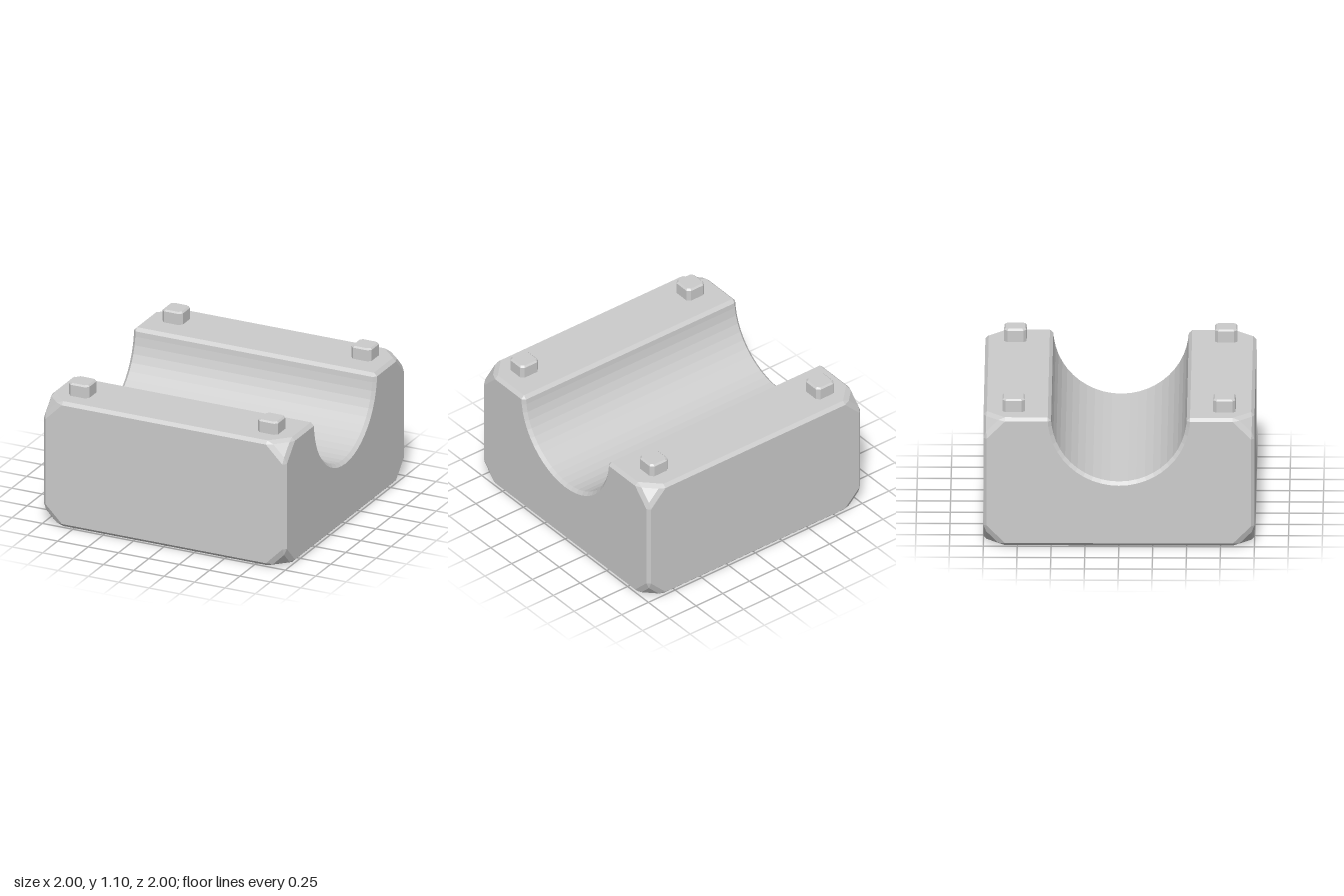
import * as THREE from 'three';

const A = 0.025;      // edge chamfer
const B = 0.16;       // corner cut
const H = 0.5;        // half height of the block
const PEG = 0.7775;   // peg and socket offset from the centre
const material = new THREE.MeshStandardMaterial({ color: 0xcccccc, flatShading: true });

// Collects flat polygons; each is wound so that it faces along "out".
class Faces {
  constructor() { this.data = []; }

  face(pts, out, holes = []) {
    const size = out.map(Math.abs);
    const drop = size.indexOf(Math.max(...size));
    const flat = (p) => new THREE.Vector2(...p.filter((_, i) => i !== drop));
    const all = [...pts, ...holes.flat()];
    const normal = new THREE.Vector3(...out);
    for (const t of THREE.ShapeUtils.triangulateShape(pts.map(flat), holes.map((h) => h.map(flat)))) {
      const [a, b, c] = t.map((i) => new THREE.Vector3(...all[i]));
      const n = b.clone().sub(a).cross(c.clone().sub(a));
      const order = n.dot(normal) > 0 ? [a, b, c] : [a, c, b];
      for (const v of order) this.data.push(v.x, v.y, v.z);
    }
  }

  // Adds a polygon and its mirror images across the named axes.
  mirrored(axes, pts, out) {
    const signs = ['x', 'y', 'z'].map((n) => (axes.includes(n) ? [1, -1] : [1]));
    for (const sx of signs[0]) for (const sy of signs[1]) for (const sz of signs[2]) {
      const flip = (p) => [p[0] * sx, p[1] * sy, p[2] * sz];
      this.face(pts.map(flip), flip(out));
    }
  }

  mesh(name) {
    const g = new THREE.BufferGeometry();
    g.setAttribute('position', new THREE.Float32BufferAttribute(this.data, 3));
    g.computeVertexNormals();
    const m = new THREE.Mesh(g, material);
    m.name = name;
    return m;
  }
}

// Octagon [u, v]: a rectangle with its corners cut
const octagon = (u, v, cu, cv = cu) => [
  [u, v - cv], [u - cu, v], [-u + cu, v], [-u, v - cv],
  [-u, -v + cv], [-u + cu, -v], [u - cu, -v], [u, -v + cv]];

const square = (r, y, cx = 0, cz = 0) =>
  [[1, 1], [-1, 1], [-1, -1], [1, -1]].map(([x, z]) => [cx + x * r, y, cz + z * r]);

// Channel cross-section [y, z] in 7.5 degree steps, from +z to -z
function channelProfile(r) {
  const pts = [[H - A, r]];
  for (let i = 1; i < 24; i++) {
    const t = (i / 24) * Math.PI;
    pts.push([H - r * Math.sin(t), r * Math.cos(t)]);
  }
  pts.push([H - A, -r]);
  return pts;
}

const R = 0.5;
const inner = channelProfile(R);
const outer = channelProfile(R + A);
const pegSpots = [[1, 1], [-1, 1], [-1, -1], [1, -1]].map(([x, z]) => [x * PEG, z * PEG]);

function makeBody() {
  const f = new Faces();
  const e = 1 - A, c = 1 - B, L = R + A;

  // Front and back
  f.mirrored('z', octagon(e, H - A, B - A).map(([x, y]) => [x, y, 1]), [0, 0, 1]);
  // Tops on both sides of the channel
  f.mirrored('z', [[e, H, L], [e, H, c], [c, H, e], [-c, H, e], [-e, H, c], [-e, H, L]], [0, 1, 0]);
  // Ends with the channel cut out
  const end = [[H - A, -c], [H - B, -e], [-H + B, -e], [-H + A, -c],
    [-H + A, c], [-H + B, e], [H - B, e], [H - A, c], ...outer];
  f.mirrored('x', end.map(([y, z]) => [1, y, z]), [1, 0, 0]);
  // Underside with openings
  const holes = [square(R + A, -H), ...pegSpots.map(([x, z]) => square(0.125, -H, x, z))];
  f.face(octagon(e, e, B - A).map(([x, z]) => [x, -H, z]), [0, -1, 0], holes);

  // Edge chamfers
  const hy = H - B;
  f.mirrored('xz', [[e, hy, 1], [1, hy, e], [1, -hy, e], [e, -hy, 1]], [1, 0, 1]);
  f.mirrored('yz', [[c, H - A, 1], [c, H, e], [-c, H, e], [-c, H - A, 1]], [0, 1, 1]);
  f.mirrored('xz', [[e, H, L], [1, H - A, L], [1, H - A, c], [e, H, c]], [1, 1, 0]);
  f.mirrored('x', [[e, -H, c], [1, -H + A, c], [1, -H + A, -c], [e, -H, -c]], [1, -1, 0]);

  // Cut corners with bevelled borders, given as insets from the three sides
  const at = (k, ik, i, ii, j, ij) => {
    const p = [1, H, 1];
    p[k] -= ik; p[i] -= ii; p[j] -= ij;
    return p;
  };
  const tip = (j) => at(j, 0.11, (j + 1) % 3, 0.02, (j + 2) % 3, 0.02);
  f.mirrored('xyz', [tip(0), tip(1), tip(2)], [1, 1, 1]);
  for (let k = 0; k < 3; k++) {
    const i = (k + 1) % 3, j = (k + 2) % 3;
    const out = [0.5, 0.5, 0.5];
    out[k] = 1;
    f.mirrored('xyz', [at(k, 0, i, A, j, B), at(k, 0, i, B, j, A), tip(i), tip(j)], out);
    f.mirrored('xyz', [at(k, 0, i, A, j, B), at(k, A, i, 0, j, B), tip(j)], out);
  }
  return f.mesh('body');
}

function makeChannel() {
  const f = new Faces();
  const e = 1 - A, L = R + A;
  for (let i = 0; i < inner.length - 1; i++) {
    const [y0, z0] = inner[i], [y1, z1] = inner[i + 1];
    const [Y0, Z0] = outer[i], [Y1, Z1] = outer[i + 1];
    const ny = H - (y0 + y1) / 2, nz = -(z0 + z1) / 2;
    f.face([[e, y0, z0], [e, y1, z1], [-e, y1, z1], [-e, y0, z0]], [0, ny, nz]);
    f.mirrored('x', [[e, y0, z0], [e, y1, z1], [1, Y1, Z1], [1, Y0, Z0]], [1, ny, nz]);
  }
  // Lips along the top and their corner facets
  f.mirrored('z', [[e, H, L], [e, H - A, R], [-e, H - A, R], [-e, H, L]], [0, 1, -1]);
  f.mirrored('xz', [[e, H, L], [e, H - A, R], [1, H - A, L]], [1, 1, -1]);
  return f.mesh('channel');
}

// Square pocket with a chamfered rim, open downwards
function makePocket(name, r, depth, cx = 0, cz = 0) {
  const f = new Faces();
  const rings = [square(r + A, -H), square(r, -H + A), square(r, -H + depth)];
  for (let k = 0; k < 2; k++) {
    for (let i = 0; i < 4; i++) {
      const j = (i + 1) % 4, a = rings[k], b = rings[k + 1];
      f.face([a[i], a[j], b[j], b[i]], [-(a[i][0] + a[j][0]), 0, -(a[i][2] + a[j][2])]);
    }
  }
  f.face(rings[2], [0, -1, 0]);
  const m = f.mesh(name);
  m.position.set(cx, 0, cz);
  return m;
}

// Square peg with chamfered upright and top edges
function makePeg(cx, cz) {
  const f = new Faces();
  const ring = (r, c, y) => octagon(r, r, c).map(([x, z]) => [x, y, z]);
  const rings = [ring(0.083, 0.024, H), ring(0.083, 0.024, H + 0.088), ring(0.071, 0.019, H + 0.1)];
  for (let k = 0; k < 2; k++) {
    for (let i = 0; i < 8; i++) {
      const j = (i + 1) % 8, a = rings[k], b = rings[k + 1];
      f.face([a[i], a[j], b[j], b[i]], [a[i][0] + a[j][0], 0, a[i][2] + a[j][2]]);
    }
  }
  f.face(rings[2], [0, 1, 0]);
  const m = f.mesh('peg');
  m.position.set(cx, 0, cz);
  return m;
}

export function createModel() {
  const block = new THREE.Group();
  block.name = 'channelBlock';
  block.position.y = H;
  block.add(makeBody(), makeChannel(), makePocket('baseRecess', R, 0.375));
  for (const [x, z] of pegSpots) {
    block.add(makePeg(x, z), makePocket('pegSocket', 0.1, 0.16, x, z));
  }
  const model = new THREE.Group();
  model.add(block);
  return model;
}
